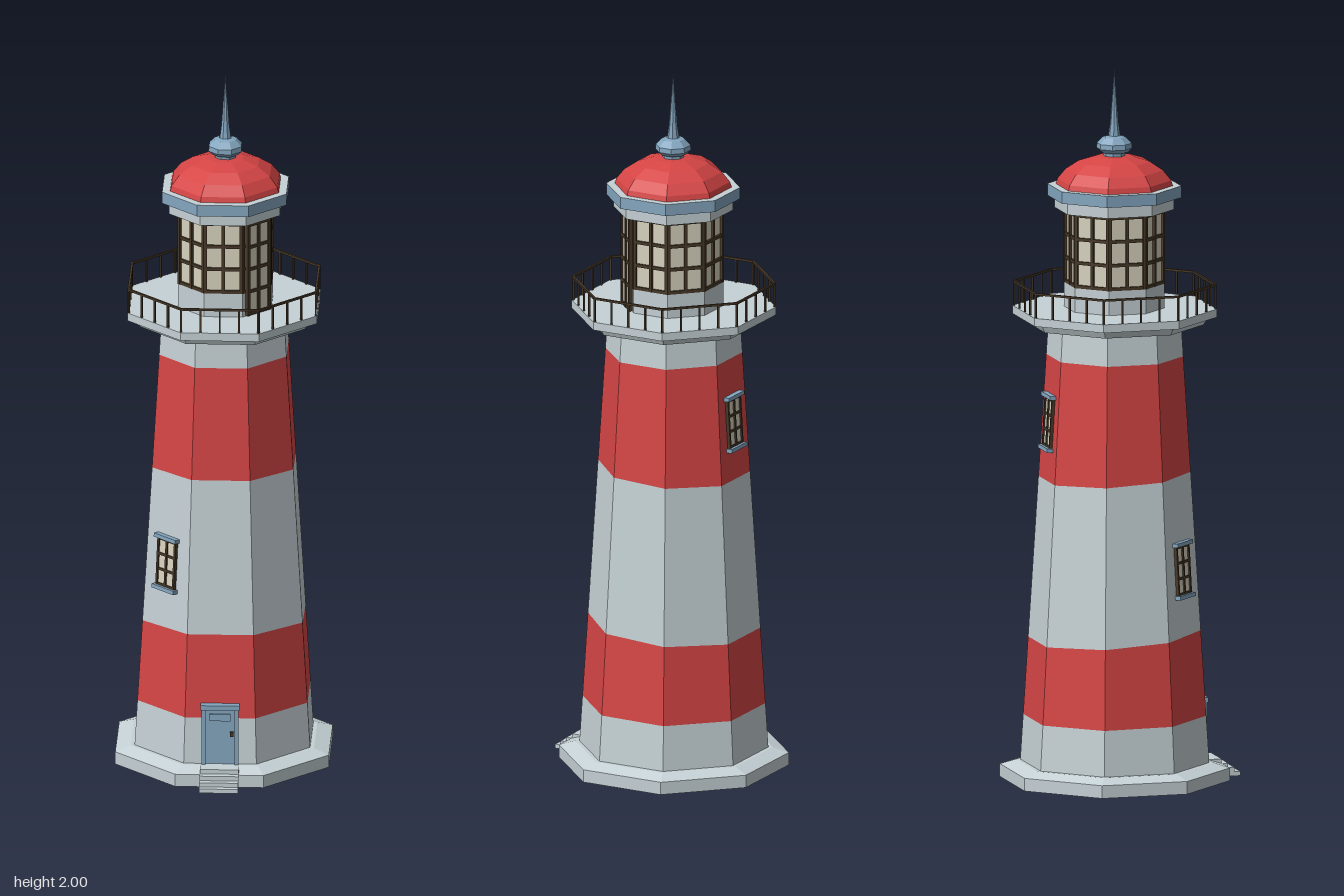
import * as THREE from 'three';

const mat = (name, color) => Object.assign(new THREE.MeshStandardMaterial({ color }), { name });
const FACE = Math.PI / 4;
const CORNER = 1 / Math.cos(Math.PI / 8);
const SIDE = 2 * Math.tan(Math.PI / 8); // side length per unit of apothem

export function createModel() {
  const white = mat('paleStone', 0xc6d2d6);
  const red = mat('redPaint', 0xd64545);
  const blue = mat('bluePaint', 0x84a6c0);
  const brown = mat('darkIron', 0x463827);
  const glass = mat('creamGlass', 0xd8d3bf);

  const model = new THREE.Group();
  model.name = 'lighthouse';
  const tower = new THREE.Group();
  tower.name = 'tower';
  tower.position.z = -0.0275;
  model.add(tower);
  const top = new THREE.Group();
  top.name = 'lanternAndRoof';
  top.position.x = 0.004;
  tower.add(top);

  // Eight-sided solid from [apothem, y] points, flat face to the front
  function octagon(parent, name, material, profile, warp) {
    const pts = profile.map(([a, y]) => new THREE.Vector2(a * CORNER, y));
    let g = new THREE.LatheGeometry(pts, 8, Math.PI / 8);
    if (warp) warp(g.attributes.position);
    g = g.toNonIndexed();
    g.computeVertexNormals();
    const m = new THREE.Mesh(g, material);
    m.name = name;
    parent.add(m);
    return m;
  }

  function box(parent, name, material, w, h, d, x, y, z) {
    const m = new THREE.Mesh(new THREE.BoxGeometry(w, h, d), material);
    m.name = name;
    m.position.set(x, y, z);
    parent.add(m);
    return m;
  }

  // Group lying on one face of an octagon: local z points outwards
  function onFace(parent, name, k, apothem, y, tilt = 0) {
    const g = new THREE.Group();
    g.name = name;
    g.rotation.order = 'YXZ';
    g.rotation.set(-tilt, k * FACE, 0);
    g.position.set(Math.sin(k * FACE) * apothem, y, Math.cos(k * FACE) * apothem);
    parent.add(g);
    return g;
  }

  // Grid of glazing bars around the local origin
  function bars(parent, w, h, cols, rows, t, d) {
    for (let i = 0; i <= cols; i++)
      box(parent, 'uprightBar', brown, t, h + t, d, -w / 2 + (w * i) / cols, 0, d / 2);
    for (let i = 0; i <= rows; i++)
      box(parent, 'crossBar', brown, w, t, d * 0.9, 0, -h / 2 + (h * i) / rows, d * 0.45);
  }

  // Base slab
  octagon(tower, 'base', white, [[0, 0], [0.297, 0], [0.297, 0.036], [0.255, 0.05], [0, 0.05]]);

  // Tapered shaft in painted bands whose borders lean slightly with z
  const SLOPE = 0.0585;
  const wall = (y) => 0.244 - SLOPE * (y - 0.05);
  const borders = [[0.05, 0], [0.18, 0.01], [0.41, 0.06], [0.86, 0.05], [1.195, 0], [1.29, 0]];
  for (let i = 0; i < 5; i++) {
    const [y0, lean0] = borders[i], [y1, lean1] = borders[i + 1];
    octagon(tower, i % 2 ? 'redBand' : 'paleBand', i % 2 ? red : white,
      [[wall(y0), y0], [wall(y1), y1]], (p) => {
        for (let v = 0; v < p.count; v++) {
          const y = p.getY(v);
          const ny = y + (v % 2 ? lean1 : lean0) * p.getZ(v);
          const s = wall(ny) / wall(y);
          p.setXYZ(v, p.getX(v) * s, ny, p.getZ(v) * s);
        }
      });
  }

  // Entrance steps
  [[0.32, 0.012], [0.303, 0.024], [0.285, 0.037], [0.266, 0.05]].forEach(([z, h]) =>
    box(model, 'step', white, 0.108, h, z - 0.2, 0, h / 2, (z + 0.2) / 2));

  // Front door with frame, panels and knob
  const door = onFace(tower, 'frontDoor', 0, 0.236, 0.05);
  box(door, 'doorLeaf', blue, 0.09, 0.165, 0.02, 0, 0.083, 0);
  for (const s of [-1, 1]) box(door, 'doorJamb', blue, 0.011, 0.17, 0.032, s * 0.046, 0.085, 0);
  box(door, 'doorLintel', blue, 0.108, 0.014, 0.04, 0, 0.168, 0);
  box(door, 'upperPanel', blue, 0.058, 0.02, 0.006, 0, 0.138, 0.012);
  box(door, 'knob', brown, 0.009, 0.012, 0.012, 0.033, 0.09, 0.015);

  // Shaft windows
  for (const [k, y] of [[-1, 0.607], [4, 1.015]]) {
    const win = onFace(tower, 'shaftWindow', k, wall(y), y, Math.atan(SLOPE));
    box(win, 'pane', glass, 0.074, 0.14, 0.006, 0, 0, 0.002);
    bars(win, 0.068, 0.132, 2, 3, 0.007, 0.009);
    for (const s of [-1, 1]) box(win, 'sillOrLintel', blue, 0.088, 0.011, 0.026, 0, s * 0.074, 0.004);
  }

  // Gallery deck
  octagon(tower, 'galleryDeck', white,
    [[0.16, 1.285], [0.23, 1.285], [0.24, 1.305], [0.264, 1.307], [0.264, 1.33], [0, 1.33]]);

  // Gallery railing
  const RAIL = 0.26;
  for (let k = 0; k < 8; k++) {
    const rail = onFace(tower, 'railing', k, RAIL, 1.33);
    const len = RAIL * SIDE;
    box(rail, 'handrail', brown, len + 0.002, 0.006, 0.006, 0, 0.068, 0);
    for (let i = 0; i < 4; i++)
      box(rail, 'railPost', brown, 0.005, 0.068, 0.005, -len / 2 + (len * i) / 4, 0.034, 0);
  }

  // Lantern room
  octagon(top, 'lanternPlinth', white, [[0.13, 1.33], [0.13, 1.4], [0, 1.4]]);
  octagon(top, 'lanternGlass', glass, [[0.124, 1.4], [0.124, 1.61]]);
  for (let k = 0; k < 8; k++) {
    const pane = onFace(top, 'lanternFrame', k, 0.123, 1.503);
    bars(pane, 0.1, 0.2, 2, 3, 0.009, 0.008);
  }

  // Gallery door on the front left of the lantern
  const hatch = onFace(top, 'galleryDoor', 1, 0.13, 1.468);
  box(hatch, 'galleryDoorGlass', glass, 0.08, 0.27, 0.01, 0, 0, 0);
  bars(hatch, 0.078, 0.262, 2, 4, 0.009, 0.01);

  // Eaves and dome
  octagon(top, 'eavesSoffit', white, [[0, 1.608], [0.154, 1.608], [0.154, 1.642]]);
  octagon(top, 'eavesBand', blue, [[0.14, 1.642], [0.173, 1.642], [0.173, 1.675]]);
  octagon(top, 'eavesTop', white, [[0.173, 1.675], [0.14, 1.675]]);
  octagon(top, 'dome', red,
    [[0.151, 1.675], [0.147, 1.69], [0.126, 1.718], [0.092, 1.742], [0.05, 1.756], [0, 1.76]]);

  // Finial and spire
  octagon(top, 'finial', blue, [[0.028, 1.75], [0.028, 1.766], [0.036, 1.768], [0.046, 1.779],
    [0.045, 1.793], [0.03, 1.81], [0.016, 1.814]]);
  octagon(top, 'spire', blue, [[0.016, 1.812], [0.011, 1.85], [0.006, 1.92], [0, 2]]);

  return model;
}
